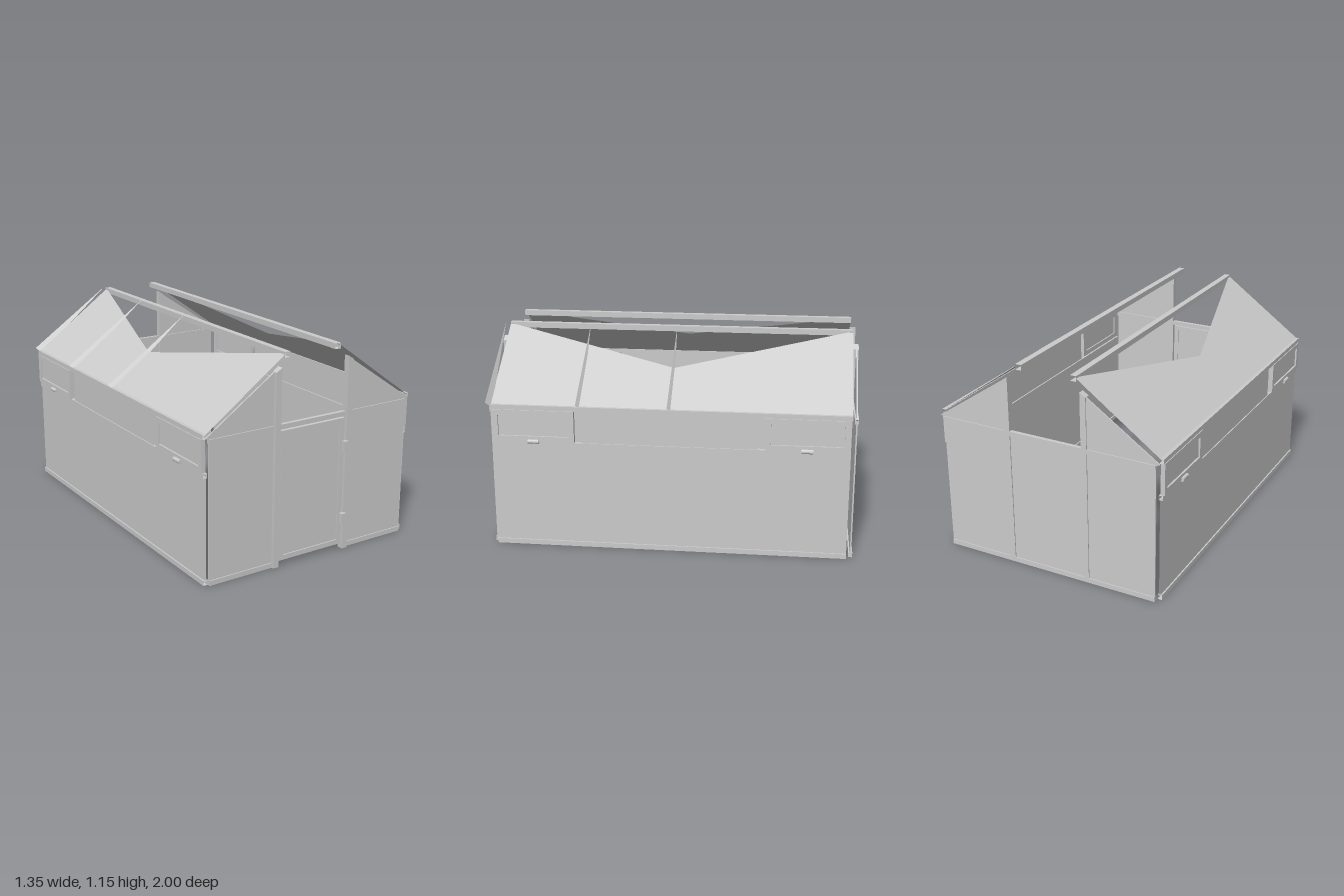
import * as THREE from 'three';

const mat = new THREE.MeshStandardMaterial({ color: 0xcccccc, flatShading: true, side: THREE.DoubleSide });
const sliverMat = new THREE.MeshStandardMaterial({ color: 0xcccccc, flatShading: true });

function add(parent, name, geometry, material = mat) {
  const mesh = new THREE.Mesh(geometry, material);
  mesh.name = name;
  parent.add(mesh);
  return mesh;
}

// Box given by its minimum and maximum along each axis
function box(parent, name, x0, x1, y0, y1, z0, z1, openEnds = false) {
  const g = new THREE.BoxGeometry(x1 - x0, y1 - y0, z1 - z0);
  if (openEnds) g.setIndex([...g.index.array.slice(0, 24)]); // drop both z caps
  g.translate((x0 + x1) / 2, (y0 + y1) / 2, (z0 + z1) / 2);
  return add(parent, name, g);
}

// Flat polygon from corners in order, as a triangle fan
function polygon(parent, name, corners, material = mat) {
  const g = new THREE.BufferGeometry();
  g.setAttribute('position', new THREE.Float32BufferAttribute(corners.flat(), 3));
  const index = [];
  for (let i = 1; i < corners.length - 1; i++) index.push(0, i, i + 1);
  g.setIndex(index);
  g.computeVertexNormals();
  return add(parent, name, g, material);
}

// Rectangular frame with an opening, extruded along z
function frame(w, h, border, depth) {
  const rect = (P, a, b) => new P([
    new THREE.Vector2(-a, -b), new THREE.Vector2(a, -b), new THREE.Vector2(a, b), new THREE.Vector2(-a, b)]);
  const shape = rect(THREE.Shape, w / 2, h / 2);
  shape.holes.push(rect(THREE.Path, w / 2 - border, h / 2 - border));
  return new THREE.ExtrudeGeometry(shape, { depth, bevelEnabled: false });
}

// One long side, built at +x: wall, vents, eave, ridge beam and roof
function longSide() {
  const side = new THREE.Group();
  box(side, 'sideWallPanel', 0.64, 0.648, 0.02, 0.58, -0.96, 0.96, true);
  box(side, 'sideBottomRail', 0.632, 0.656, 0, 0.027, -0.96, 0.96, true);
  box(side, 'sideMiddleRail', 0.632, 0.656, 0.577, 0.602, -0.96, 0.96, true);
  box(side, 'sideUpperPanel', 0.64, 0.65, 0.6, 0.785, -0.47, 0.475, true);
  box(side, 'eaveBeam', 0.635, 0.66, 0.78, 0.805, -0.963, 0.963, true);
  box(side, 'ridgeBeam', 0.143, 0.178, 1.12, 1.15, -0.963, 0.963, true);

  // Vent windows with a round handle
  for (const s of [-1, 1]) {
    const vent = new THREE.Group();
    vent.name = 'ventWindow';
    vent.position.set(0.64, 0.692, s * 0.733);
    vent.rotation.y = Math.PI / 2;
    add(vent, 'ventFrame', frame(0.445, 0.175, 0.03, 0.024));
    box(vent, 'ventPane', -0.2, 0.2, -0.06, 0.06, 0.008, 0.014);
    const handle = add(vent, 'ventHandle', new THREE.CylinderGeometry(0.012, 0.012, 0.06, 12));
    handle.rotation.z = Math.PI / 2;
    handle.position.set(0, -0.086, 0.025);
    side.add(vent);
  }

  // Roof sheet, cut away in a triangle from the ridge to mid slope
  polygon(side, 'roofSheet', [
    [0.41, 0.97, 0], [0.17, 1.143, 0.963], [0.655, 0.795, 0.963],
    [0.655, 0.795, -0.963], [0.17, 1.143, -0.963]]);

  // Thin tapering rafters
  for (const z of [0.99, 0.5, 0.01]) {
    polygon(side, 'rafter', [[0.17, 1.155, z], [0.665, 0.815, z], [0.64, 0.785, z - 0.03]], sliverMat);
  }
  return side;
}

// One end wall facing +z; the outer face of its rails lies at z1
function endWall(withDoor, z1) {
  const end = new THREE.Group();
  const z0 = z1 - 0.022, p0 = z1 - 0.014, p1 = z1 - 0.006;
  for (const s of [-1, 1]) {
    const half = (name, a, b, ...rest) => box(end, name, Math.min(s * a, s * b), Math.max(s * a, s * b), ...rest);
    half('endPanel', 0.24, 0.63, 0.02, 0.765, p0, p1);
    half('endBottomRail', 0.24, 0.63, 0, 0.027, z0, z1);
    half('endTopRail', 0.24, 0.63, 0.755, 0.78, z0, z1);
    // Gable post with a sloping top
    const post = new THREE.Shape([
      new THREE.Vector2(s * 0.212, 0), new THREE.Vector2(s * 0.245, 0),
      new THREE.Vector2(s * 0.245, 1.06), new THREE.Vector2(s * 0.212, 1.082)]);
    const g = new THREE.ExtrudeGeometry(post, { depth: 0.035, bevelEnabled: false });
    add(end, 'gablePost', g.translate(0, 0, 0.95));
    // Gable sheet above the wall
    const gable = new THREE.Shape([
      new THREE.Vector2(s * 0.24, 0.775), new THREE.Vector2(s * 0.63, 0.775),
      new THREE.Vector2(s * 0.65, 0.785), new THREE.Vector2(s * 0.24, 1.063)]);
    add(end, 'gablePanel', new THREE.ExtrudeGeometry(gable, { depth: 0.008, bevelEnabled: false }).translate(0, 0, p0));
  }
  box(end, 'doorwayHeader', -0.212, 0.212, 0.755, 0.78, z0, z1);

  if (withDoor) {
    const door = add(end, 'doorFrame', frame(0.41, 0.717, 0.027, 0.02));
    door.position.set(0, 0.389, 0.957);
    box(end, 'doorPanel', -0.185, 0.185, 0.05, 0.725, 0.962, 0.97);
    for (const y of [0.182, 0.592]) {
      box(end, 'doorHinge', 0.192, 0.221, y - 0.03, y + 0.03, 0.97, 1);
    }
  } else {
    box(end, 'centrePanel', -0.215, 0.215, 0.02, 0.765, p0, p1);
    box(end, 'centreBottomRail', -0.212, 0.212, 0, 0.027, z0, z1);
  }
  return end;
}

export function createModel() {
  const model = new THREE.Group();
  model.name = 'greenhouse';

  // Both long sides match under a half turn
  for (const [name, turn] of [['leftSide', 0], ['rightSide', Math.PI]]) {
    const side = longSide();
    side.name = name;
    side.rotation.y = turn;
    side.position.z = -0.006;
    model.add(side);
  }

  const front = endWall(true, 0.972);
  front.name = 'frontWall';
  const back = endWall(false, 0.985);
  back.name = 'backWall';
  back.rotation.y = Math.PI;
  back.position.z = -0.015;
  model.add(front, back);
  return model;
}
